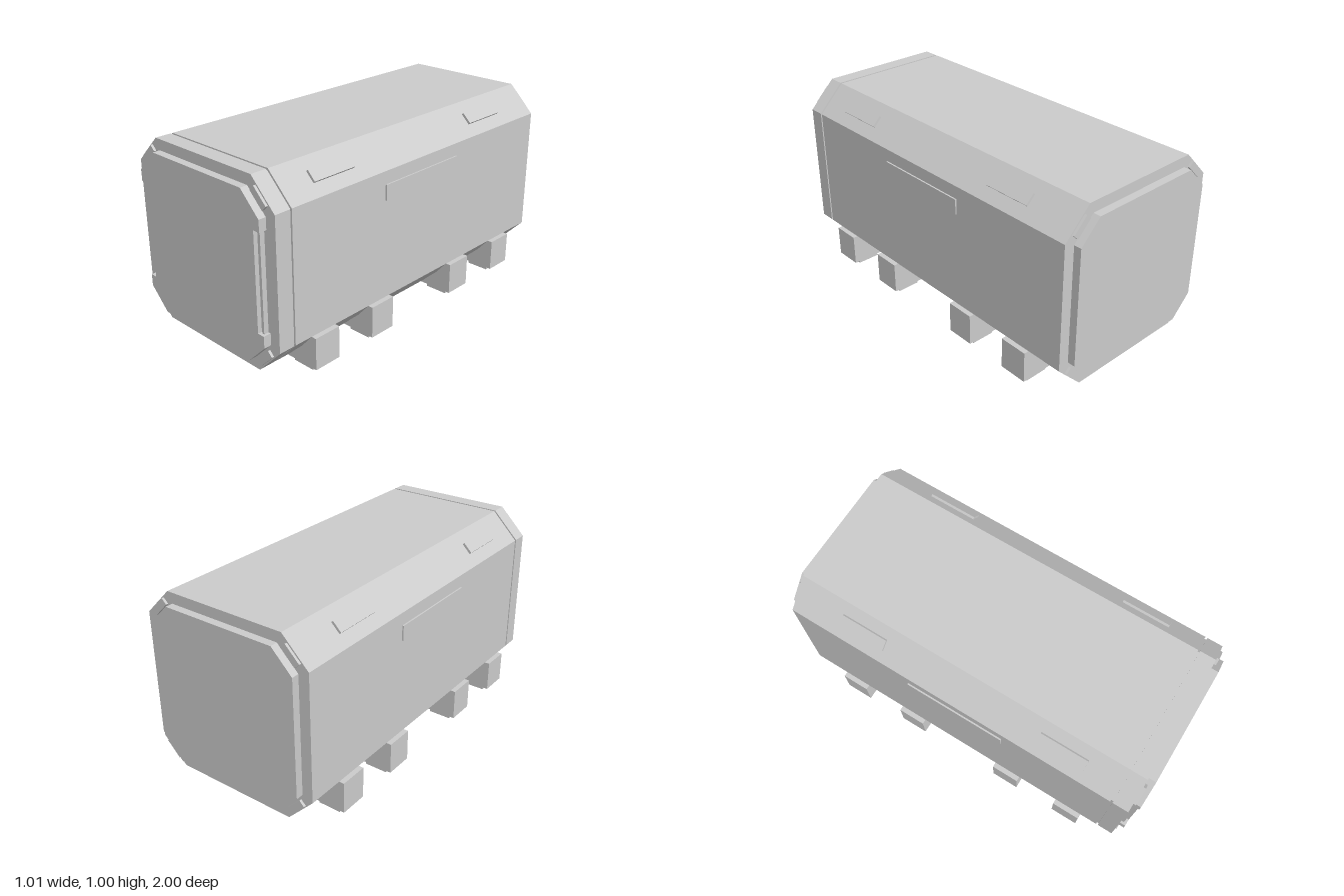
import * as THREE from 'three';

const material = new THREE.MeshStandardMaterial({ color: 0xcccccc, flatShading: true });

export function createModel() {
  const model = new THREE.Group();
  model.name = 'cargoContainer';

  const add = (name, geometry, x = 0, y = 0, z = 0, tilt = 0) => {
    const mesh = new THREE.Mesh(geometry, material);
    mesh.name = name;
    mesh.position.set(x, y, z);
    mesh.rotation.z = tilt;
    model.add(mesh);
    return mesh;
  };
  const box = (name, w, h, d, x, y, z, tilt) => add(name, new THREE.BoxGeometry(w, h, d), x, y, z, tilt);

  // Extrude an outline of the right half, mirrored in x, from z0 to z1
  const prism = (name, half, z0, z1) => {
    const mirrored = half.map(([x, y]) => [-x, y]).reverse();
    const shape = new THREE.Shape([...half, ...mirrored].map(([x, y]) => new THREE.Vector2(x, y)));
    return add(name, new THREE.ExtrudeGeometry(shape, { depth: z1 - z0, bevelEnabled: false }), 0, 0, z0);
  };

  // Eight-sided hull: main section, recessed seam and front collar
  const hull = [[0.337, 0.04], [0.48, 0.188], [0.48, 0.857], [0.337, 1]];
  const seam = [[0.333, 0.05], [0.47, 0.192], [0.47, 0.853], [0.333, 0.99]];
  prism('hull', hull, -0.96, 0.865);
  prism('seam', seam, 0.865, 0.876);
  prism('frontCollar', hull, 0.876, 0.96);

  // End panels; the front door has a notch down each side
  const panelBottom = [[0.312, 0.098], [0.423, 0.209]];
  const panelTop = [[0.423, 0.832], [0.312, 0.944]];
  const notch = [[0.423, 0.27], [0.385, 0.27], [0.385, 0.772], [0.423, 0.772]];
  prism('rearPanel', [...panelBottom, ...panelTop], -1, -0.96);
  prism('frontDoor', [...panelBottom, ...notch, ...panelTop], 0.96, 1);

  // Cross skids that rise as cradles under the lower chamfers
  const skid = [[0.507, 0.02], [0.507, 0.188], [0.48, 0.188], [0.415, 0.113], [0.337, 0.042]];
  for (const z of [-0.69, -0.307, 0.307, 0.69]) {
    prism('skid', skid, z - 0.076, z + 0.076);
    for (const s of [-1, 1]) box('footPad', 0.123, 0.022, 0.128, s * 0.411, 0.011, z);
  }

  for (const s of [-1, 1]) {
    // Hinge bars in the door notches
    box('hingeBar', 0.012, 0.502, 0.03, s * 0.403, 0.521, 0.97);
    box('hingeRail', 0.008, 0.502, 0.02, s * 0.389, 0.521, 0.968);

    // Raised plates on the sides and upper chamfers
    box('sidePlate', 0.016, 0.08, 0.54, s * 0.48, 0.75, 0);
    for (const z of [-0.562, 0.562]) {
      box('chamferPlate', 0.063, 0.024, 0.255, s * 0.409, 0.929, z, -s * Math.PI / 4);
    }

    // Corner latches on both ends
    for (const z of [-0.962, 0.962]) {
      box('upperLatch', 0.105, 0.036, 0.022, s * 0.39, 0.911, z, -s * Math.PI / 4);
      box('lowerLatch', 0.105, 0.036, 0.022, s * 0.39, 0.131, z, s * Math.PI / 4);
    }
  }

  return model;
}
